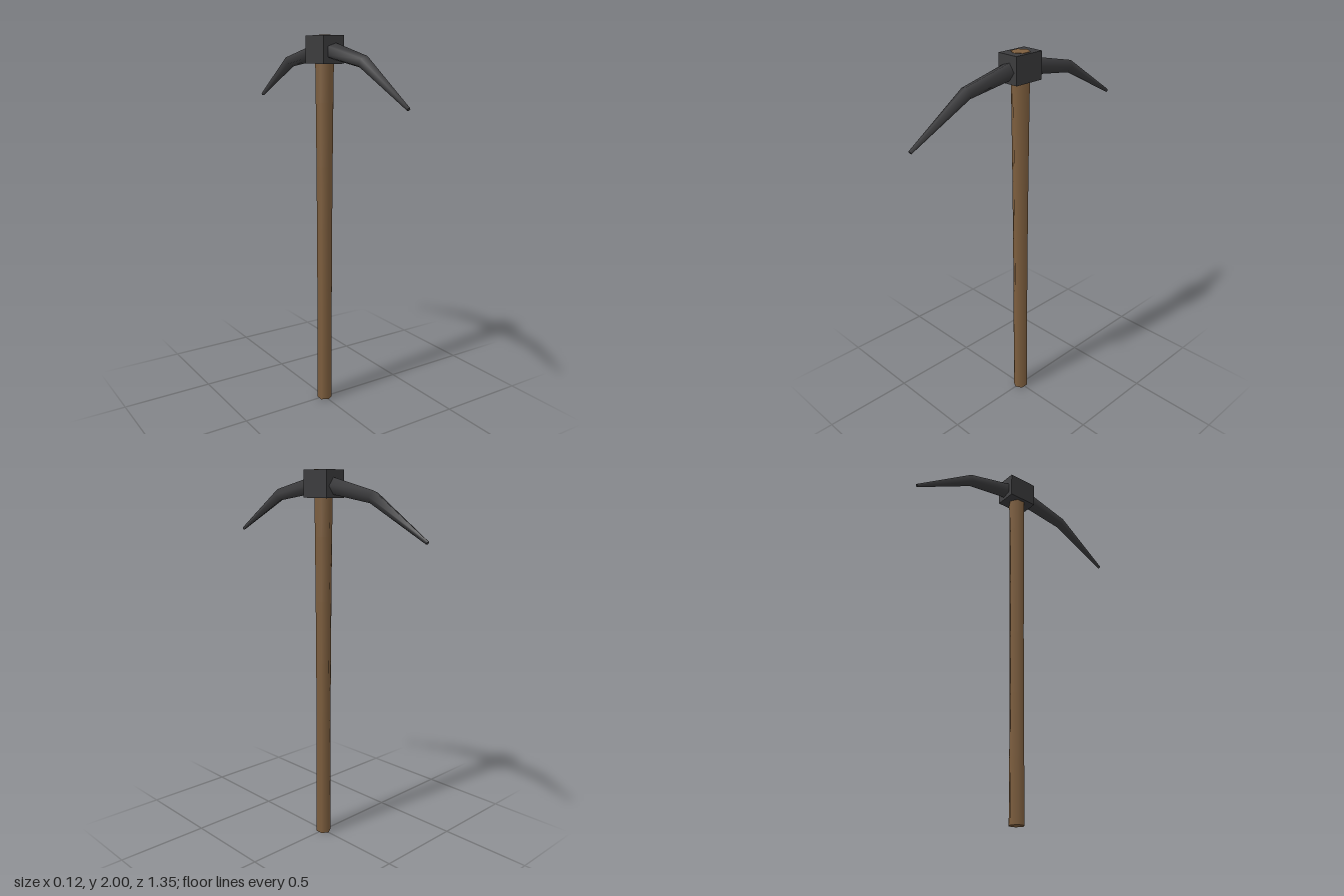
import * as THREE from 'three';

const wood = new THREE.MeshStandardMaterial({ color: 0x7d5e3e });
const iron = new THREE.MeshStandardMaterial({ color: 0x3b3b3d });

function addMesh(group, name, geometry, material, y = 0) {
  const mesh = new THREE.Mesh(geometry, material);
  mesh.name = name;
  mesh.position.y = y;
  group.add(mesh);
}

// Six-sided shaft, even along the lower half and swelling toward the head
function handleGeometry() {
  const geo = new THREE.CylinderGeometry(1, 1, 2, 6, 6);
  const pos = geo.attributes.position;
  for (let i = 0; i < pos.count; i++) {
    const t = (pos.getY(i) + 1) / 2;
    const r = 0.041 - 0.009 * t + 0.017 * t * t;
    pos.setX(i, pos.getX(i) * r);
    pos.setZ(i, pos.getZ(i) * r);
  }
  return geo;
}

// Five-sided tapering bar, bent downward on both sides of the head
function pickGeometry(sides = 5) {
  const half = [[0.34, 1.87, 0.033], [0.672, 1.675, 0.009]]; // z, y, radius
  const path = [
    ...half.map(([z, y, r]) => [-z, y, r]).reverse(),
    [0, 1.935, 0.048],
    ...half,
  ];
  const verts = [], index = [];
  const direction = (a, b) => new THREE.Vector2(b[0] - a[0], b[1] - a[1]).normalize();
  const addRing = (i) => {
    const [z, y, r] = path[i];
    const dir = new THREE.Vector2();
    if (i > 0) dir.add(direction(path[i - 1], path[i]));
    if (i < path.length - 1) dir.add(direction(path[i], path[i + 1]));
    dir.normalize();
    const start = verts.length / 3;
    for (let j = 0; j < sides; j++) {
      const a = (j / sides) * Math.PI * 2;
      const up = Math.sin(a) * r;
      verts.push(Math.cos(a) * r, y + up * dir.x, z - up * dir.y);
    }
    return start;
  };

  // sides
  const rings = path.map((_, i) => addRing(i));
  for (let i = 0; i < rings.length - 1; i++) {
    for (let j = 0; j < sides; j++) {
      const k = (j + 1) % sides;
      const a = rings[i] + j, b = rings[i] + k;
      const c = rings[i + 1] + j, d = rings[i + 1] + k;
      index.push(a, b, c, b, d, c);
    }
  }
  // end caps
  const back = addRing(0), front = addRing(path.length - 1);
  for (let j = 1; j < sides - 1; j++) {
    index.push(back, back + j + 1, back + j);
    index.push(front, front + j, front + j + 1);
  }

  const geo = new THREE.BufferGeometry();
  geo.setAttribute('position', new THREE.Float32BufferAttribute(verts, 3));
  geo.setIndex(index);
  geo.computeVertexNormals();
  return geo;
}

export function createModel() {
  const group = new THREE.Group();
  group.name = 'pickaxe';
  addMesh(group, 'handle', handleGeometry(), wood, 1);
  // Socket block sits just under the handle's top face
  addMesh(group, 'headBlock', new THREE.BoxGeometry(0.12, 0.138, 0.17), iron, 1.929);
  addMesh(group, 'pickBar', pickGeometry(), iron);
  return group;
}
